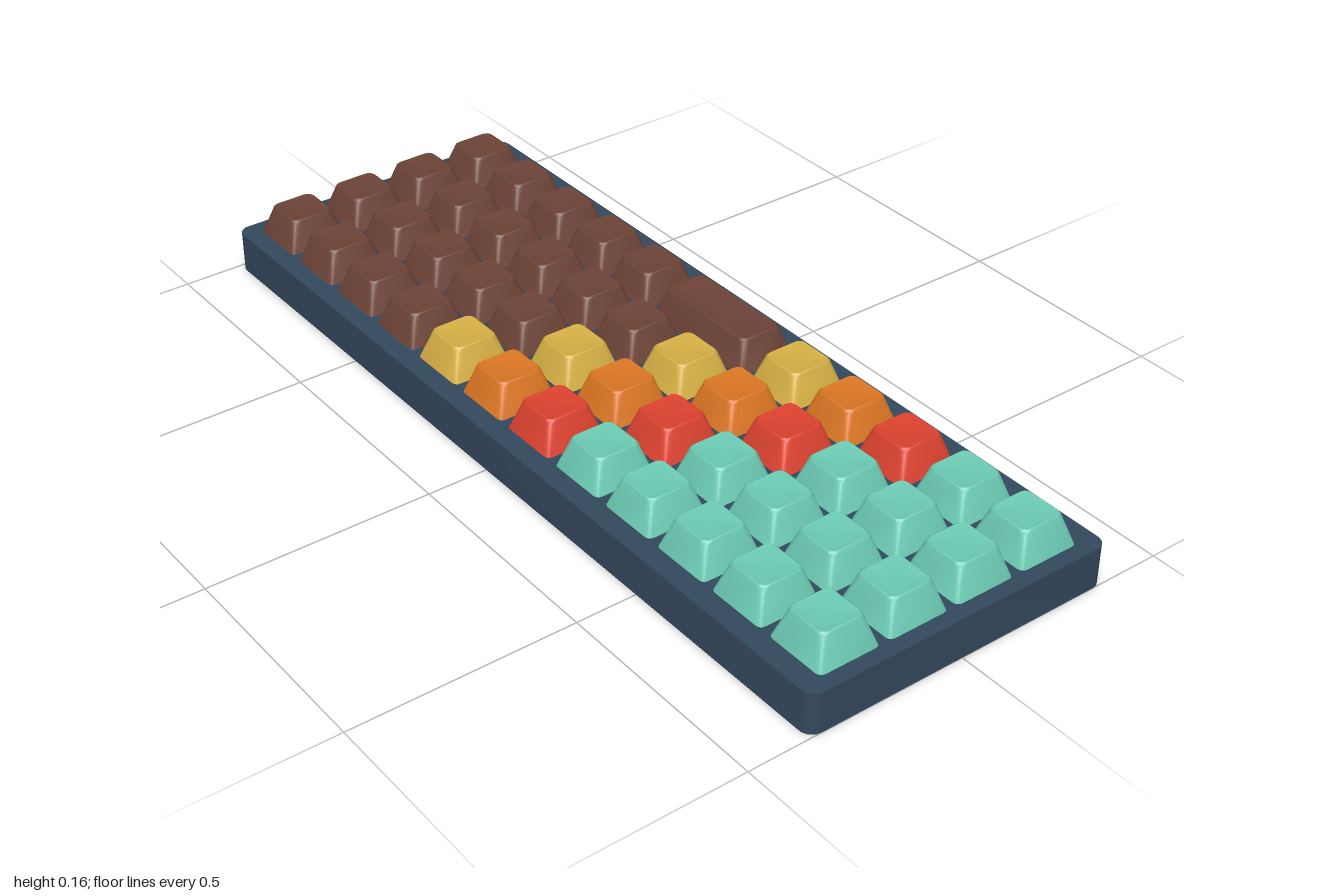
import * as THREE from 'three';
import { toCreasedNormals } from 'three/addons/utils/BufferGeometryUtils.js';

const mat = (name, color) => {
  const m = new THREE.MeshStandardMaterial({ color });
  m.name = name;
  return m;
};

// Outline of a rounded rectangle as [x, z] points, counter-clockwise seen from +y
function roundedOutline(hx, hz, r, steps = 4) {
  const pts = [];
  const corners = [[1, -1], [-1, -1], [-1, 1], [1, 1]];
  corners.forEach(([sx, sz], c) => {
    for (let i = 0; i <= steps; i++) {
      const a = (c + i / steps) * Math.PI / 2;
      pts.push([sx * (hx - r) + r * Math.cos(a), sz * (hz - r) - r * Math.sin(a)]);
    }
  });
  return pts;
}

// Tapered keycap: stacked rounded rectangles ending in a shallow dish
function keycapGeometry(halfWidth) {
  const rings = [ // inset from base, corner radius, height
    [0, 0.012, 0.088],
    [0.0205, 0.016, 0.154],
    [0.022, 0.016, 0.159],
    [0.0255, 0.014, 0.162],
    [0.034, 0.010, 0.1605],
  ];
  const pos = [], index = [];
  let n = 0;
  for (const [inset, r, y] of rings) {
    const outline = roundedOutline(halfWidth - inset, 0.0725 - inset, r);
    n = outline.length;
    outline.forEach(([x, z]) => pos.push(x, y, z));
  }
  for (let k = 0; k < rings.length - 1; k++) {
    for (let i = 0; i < n; i++) {
      const a = k * n + i, b = k * n + (i + 1) % n;
      index.push(a, b, b + n, a, b + n, a + n);
    }
  }
  // dish centre
  const last = (rings.length - 1) * n, centre = pos.length / 3;
  pos.push(0, 0.1595, 0);
  for (let i = 0; i < n; i++) index.push(last + i, last + (i + 1) % n, centre);
  const g = new THREE.BufferGeometry();
  g.setAttribute('position', new THREE.Float32BufferAttribute(pos, 3));
  g.setIndex(index);
  return toCreasedNormals(g, 0.6);
}

// Solid case with rounded vertical corners
function caseGeometry() {
  const x = 1, z = 0.363, r = 0.028, h = 0.093;
  const s = new THREE.Shape();
  s.moveTo(-x + r, -z);
  s.lineTo(x - r, -z);
  s.absarc(x - r, -z + r, r, -Math.PI / 2, 0);
  s.absarc(x - r, z - r, r, 0, Math.PI / 2);
  s.absarc(-x + r, z - r, r, Math.PI / 2, Math.PI);
  s.absarc(-x + r, -z + r, r, Math.PI, Math.PI * 1.5);
  const g = new THREE.ExtrudeGeometry(s, { depth: h, bevelEnabled: false, curveSegments: 5 });
  g.rotateX(-Math.PI / 2);
  return toCreasedNormals(g, 0.6);
}

export function createModel() {
  const group = new THREE.Group();
  group.name = 'keyboard';

  const slate = mat('slate blue', 0x34495e);
  const colours = {
    b: mat('brown', 0x6d4337),
    y: mat('yellow', 0xd6b045),
    o: mat('orange', 0xdb7624),
    r: mat('red', 0xdc422f),
    t: mat('teal', 0x6ccbb4),
  };

  const body = new THREE.Mesh(caseGeometry(), slate);
  body.name = 'case';
  group.add(body);

  // Rows from back to front; W is the double-width key and fills two columns
  const rows = ['bbbbbW-yortt'.replace('W-', 'W_'), 'bbbbbbyorttt', 'bbbbbyortttt', 'bbbbyorttttt'];
  rows[0] = 'bbbbbW_yortt';
  const pitch = 0.1628;
  const key = keycapGeometry(0.0725);
  const wideKey = keycapGeometry(0.0725 + pitch / 2);

  rows.forEach((row, r) => {
    const rowGroup = new THREE.Group();
    rowGroup.name = `keyRow${r + 1}`;
    [...row].forEach((code, c) => {
      if (code === '_') return;
      const wide = code === 'W';
      const mesh = new THREE.Mesh(wide ? wideKey : key, colours[wide ? 'b' : code]);
      mesh.name = wide ? 'wideKey' : 'key';
      const x = (c - 5.5 + (wide ? 0.5 : 0)) * pitch;
      mesh.position.set(x, 0, (r - 1.5) * 0.1625 + 0.003 - 0.003 * x);
      rowGroup.add(mesh);
    });
    group.add(rowGroup);
  });

  return group;
}
